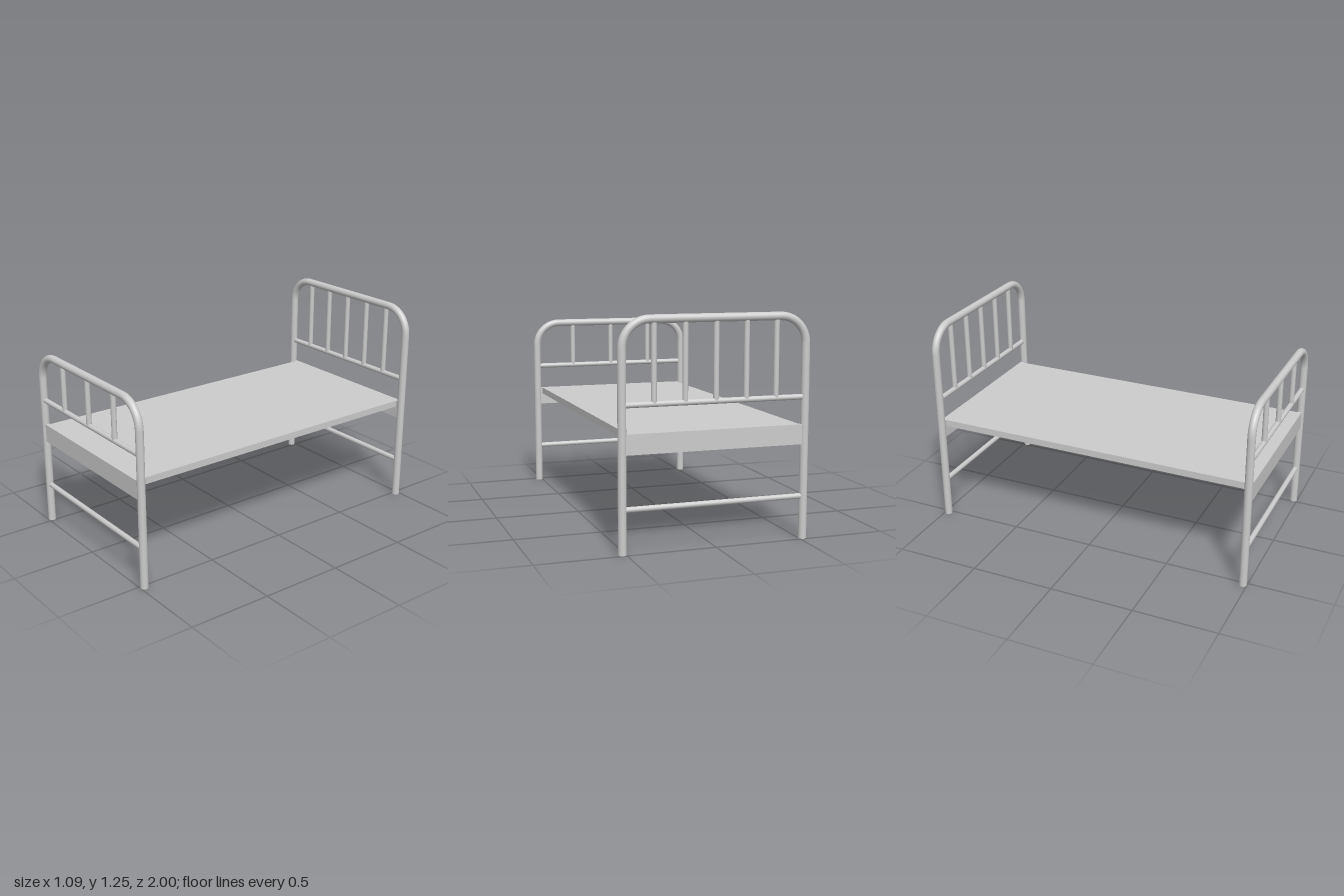
import * as THREE from 'three';

const material = new THREE.MeshStandardMaterial({ color: 0xcccccc });
const POST_X = 0.52, END_Z = 0.977, TUBE_R = 0.023, BEND = 0.15;

function add(parent, name, geometry, x = 0, y = 0, z = 0) {
  const mesh = new THREE.Mesh(geometry, material);
  mesh.name = name;
  mesh.position.set(x, y, z);
  parent.add(mesh);
  return mesh;
}

// Bent tube: both posts and the top rail in one piece, with capped feet
function addFrame(parent, top) {
  const v = (x, y) => new THREE.Vector3(x, y, 0);
  const k = BEND * 0.448; // control distance for a round corner
  const inner = POST_X - BEND, low = top - BEND;
  const pieces = [
    [new THREE.LineCurve3(v(-POST_X, 0), v(-POST_X, low)), 1],
    [new THREE.CubicBezierCurve3(v(-POST_X, low), v(-POST_X, top - k), v(-POST_X + k, top), v(-inner, top)), 10],
    [new THREE.LineCurve3(v(-inner, top), v(inner, top)), 1],
    [new THREE.CubicBezierCurve3(v(inner, top), v(POST_X - k, top), v(POST_X, top - k), v(POST_X, low)), 10],
    [new THREE.LineCurve3(v(POST_X, low), v(POST_X, 0)), 1],
  ];
  pieces.forEach(([curve, segments], i) => {
    const name = ['rightPost', 'rightBend', 'topRail', 'leftBend', 'leftPost'][i];
    add(parent, name, new THREE.TubeGeometry(curve, segments, TUBE_R, 20));
  });
  for (const x of [-POST_X, POST_X]) {
    add(parent, 'footCap', new THREE.CircleGeometry(TUBE_R, 20), x).rotation.x = Math.PI / 2;
  }
}

// One end of the bed: frame, two cross rails, spindles and a panel
function createEnd(name, z, top, spindles) {
  const end = new THREE.Group();
  end.name = name;
  end.position.z = z;
  addFrame(end, top);

  for (const y of [0.24, 0.79]) {
    add(end, 'crossRail', new THREE.CylinderGeometry(0.0155, 0.0155, 2 * POST_X - 0.03, 16), 0, y)
      .rotation.z = Math.PI / 2;
  }

  const height = top - 0.795;
  for (const x of spindles) {
    add(end, 'spindle', new THREE.CylinderGeometry(0.0155, 0.0155, height, 16), x, 0.795 + height / 2);
  }

  add(end, 'endPanel', new THREE.BoxGeometry(2 * POST_X - 0.03, 0.11, 0.026), 0, 0.585);
  return end;
}

export function createModel() {
  const bed = new THREE.Group();
  bed.name = 'bed';
  bed.add(createEnd('headboard', -END_Z, 1.23, [-0.346, -0.173, 0, 0.173, 0.346]));
  bed.add(createEnd('footboard', END_Z, 1.08, [-0.27, 0, 0.27]));

  // Flat sleeping platform between the end panels
  add(bed, 'platform', new THREE.BoxGeometry(0.98, 0.04, 2 * (END_Z - 0.013)), 0, 0.62);
  return bed;
}
